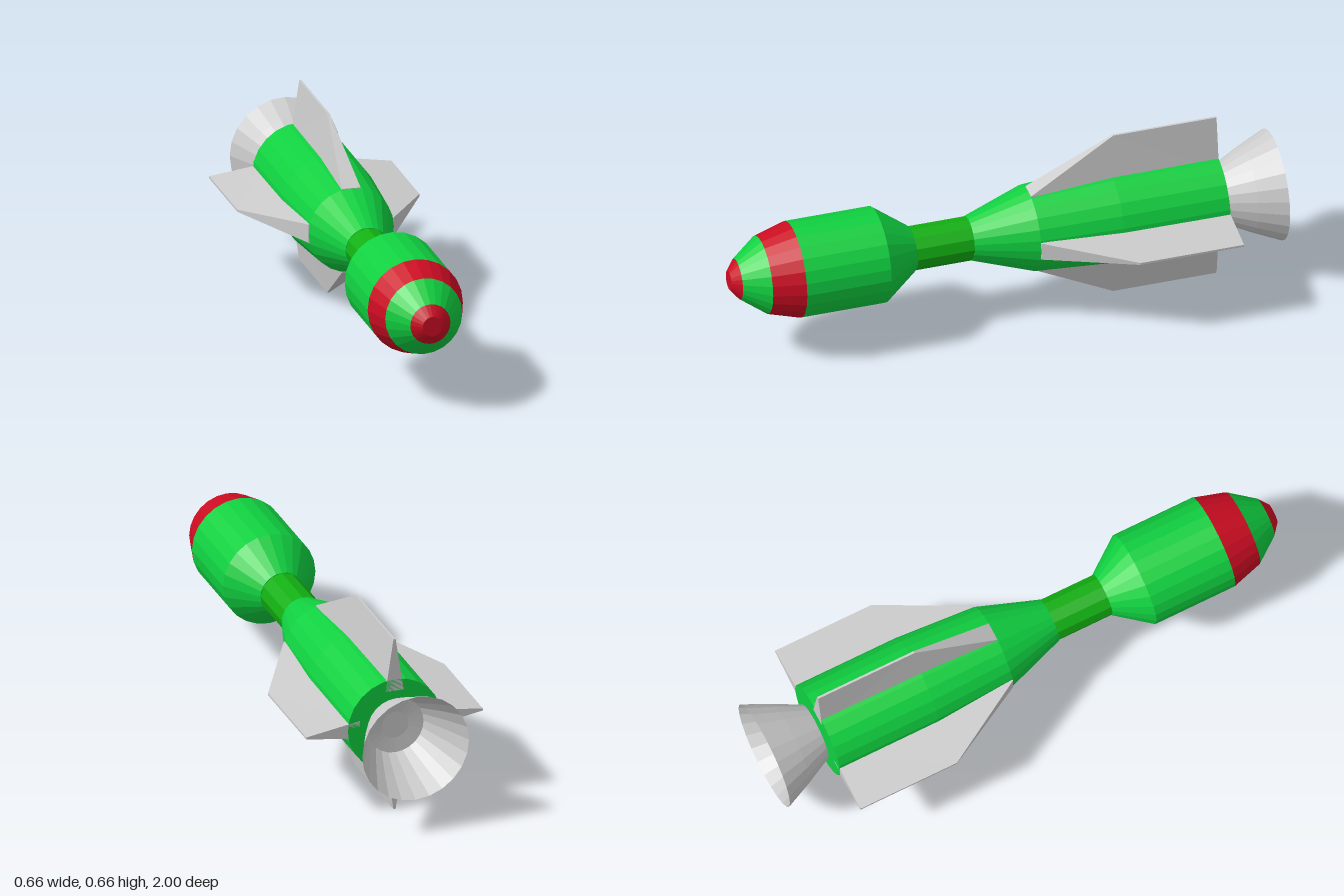
import * as THREE from 'three';

const AXIS_Y = 0.333;
const GREEN = 0x10d040, DARK_GREEN = 0x12b012, RED = 0xcc0c22, GREY = 0xcccccc;

function material(color, side = THREE.FrontSide) {
  return new THREE.MeshStandardMaterial({ color, flatShading: true, side });
}

// Turned part along z; profile is [z, radius] from back to front
function turned(name, profile, color, sides = 24, side) {
  const points = profile.map(([z, r]) => new THREE.Vector2(r, z));
  const geometry = new THREE.LatheGeometry(points, sides).rotateX(Math.PI / 2);
  const mesh = new THREE.Mesh(geometry, material(color, side));
  mesh.name = name;
  return mesh;
}

// Swept fin pointing up, thick at the root and thin at the tip
function finGeometry() {
  const outline = [[-0.79, 0.13], [-0.1, 0.13], [-0.1, 0.155], [-0.41, 0.331], [-0.79, 0.331]];
  const shape = new THREE.Shape(outline.map(([z, r]) => new THREE.Vector2(z, r)));
  const geometry = new THREE.ExtrudeGeometry(shape, { depth: 1, bevelEnabled: false });
  geometry.translate(0, 0, -0.5).rotateY(-Math.PI / 2);
  const p = geometry.attributes.position;
  for (let i = 0; i < p.count; i++) {
    const t = THREE.MathUtils.clamp((p.getY(i) - 0.16) / 0.171, 0, 1);
    p.setX(i, Math.sign(p.getX(i)) * THREE.MathUtils.lerp(0.034, 0.004, t));
  }
  geometry.computeVertexNormals();
  return geometry;
}

export function createModel() {
  const model = new THREE.Group();
  model.name = 'rocket';
  const hull = new THREE.Group();
  hull.name = 'hull';
  hull.position.y = AXIS_Y;
  model.add(hull);

  // Warhead with painted bands
  hull.add(
    turned('noseTip', [[0.97, 0.073], [1, 0.036], [1, 0]], RED),
    turned('noseCone', [[0.88, 0.14], [0.97, 0.073]], GREEN),
    turned('noseBand', [[0.765, 0.173], [0.88, 0.14]], RED),
    turned('warhead', [[0.33, 0.07], [0.33, 0.08], [0.455, 0.173], [0.765, 0.173]], GREEN)
  );

  // Neck and rear body
  hull.add(
    turned('neck', [[0.11, 0.079], [0.34, 0.079]], DARK_GREEN, 12),
    turned('body', [[-0.79, 0], [-0.79, 0.175], [-0.4, 0.175], [-0.1, 0.155], [0.12, 0.08], [0.12, 0.07]], GREEN)
  );

  // Open exhaust bell with a small throat
  hull.add(turned('nozzle', [[-0.795, 0], [-0.795, 0.05], [-0.8, 0.105], [-0.9, 0.155], [-1, 0.2]].reverse(),
    GREY, 24, THREE.DoubleSide));

  // Four fins around the body
  const fin = finGeometry();
  for (let i = 0; i < 4; i++) {
    const mesh = new THREE.Mesh(fin, material(GREY));
    mesh.name = 'fin' + (i + 1);
    mesh.rotation.z = i * Math.PI / 2;
    hull.add(mesh);
  }
  return model;
}
